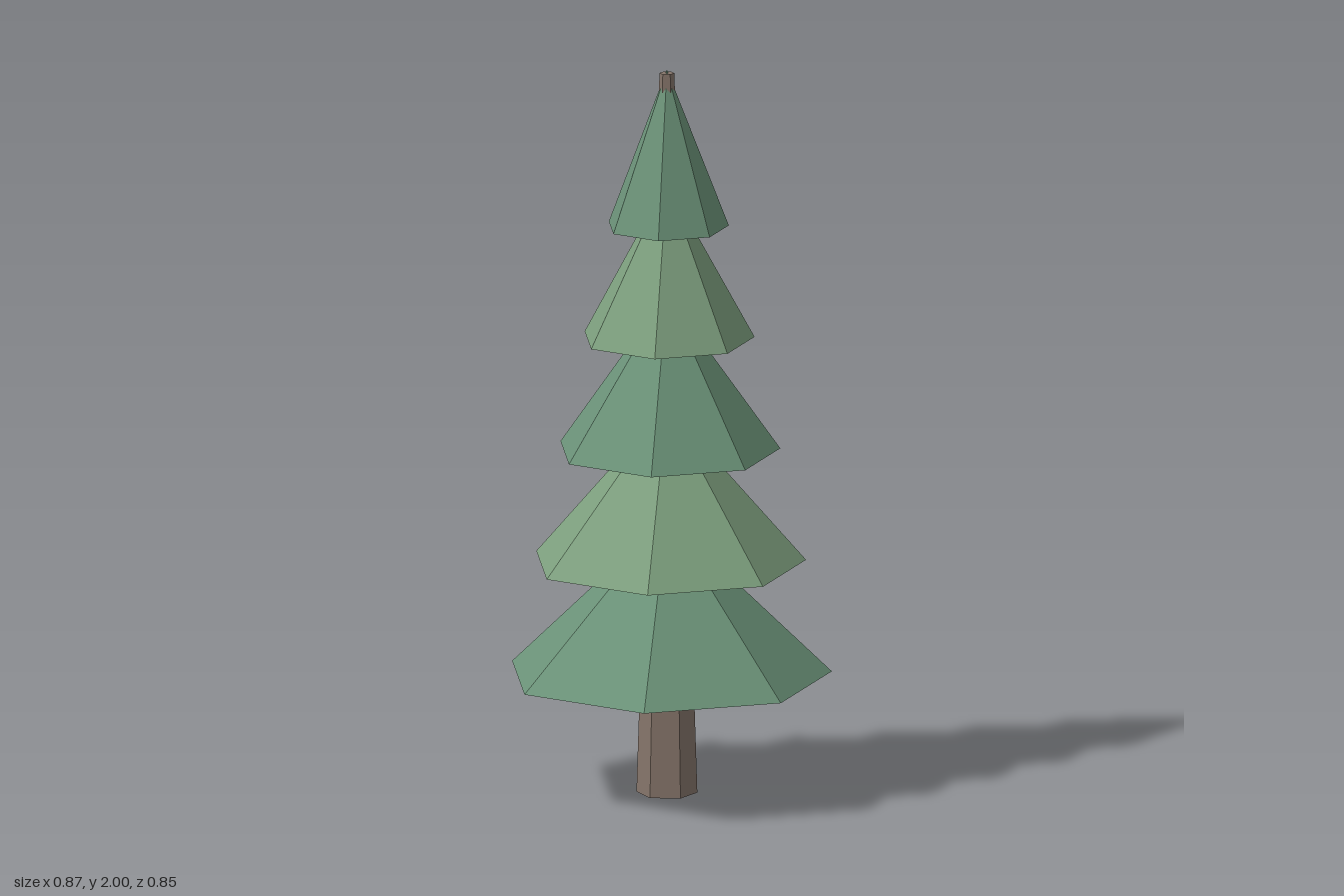
import * as THREE from 'three';

const SIDES = 7;
const TIERS = 5;
const TIER_HEIGHT = 0.435;
const CENTRE_Z = 0.02;

function createMaterial(color, side = THREE.FrontSide) {
  return new THREE.MeshStandardMaterial({ color, flatShading: true, side });
}

export function createModel() {
  const tree = new THREE.Group();
  tree.name = 'pineTree';

  // Tapered six-sided trunk running up through every tier
  const trunkHeight = 1.99;
  const trunk = new THREE.Mesh(
    new THREE.CylinderGeometry(0.02, 0.082, trunkHeight, 6),
    createMaterial(0x85756a)
  );
  trunk.name = 'trunk';
  trunk.position.set(0, trunkHeight / 2, CENTRE_Z);
  tree.add(trunk);

  // Hollow seven-sided foliage skirts, shrinking upwards, in alternating greens
  const greens = [0x6b9278, 0x7d9f7e].map((c) => createMaterial(c, THREE.DoubleSide));
  const foliage = new THREE.Group();
  foliage.name = 'foliage';
  for (let i = 0; i < TIERS; i++) {
    const radius = 0.445 - 0.0695 * i;
    const base = 0.325 + 0.31 * i;
    const cone = new THREE.ConeGeometry(radius, TIER_HEIGHT, SIDES, 1, true, Math.PI);
    const tier = new THREE.Mesh(cone, greens[i % 2]);
    tier.name = `foliageTier${i + 1}`;
    tier.position.set(0, base + TIER_HEIGHT / 2, CENTRE_Z);
    foliage.add(tier);
  }
  tree.add(foliage);

  return tree;
}
